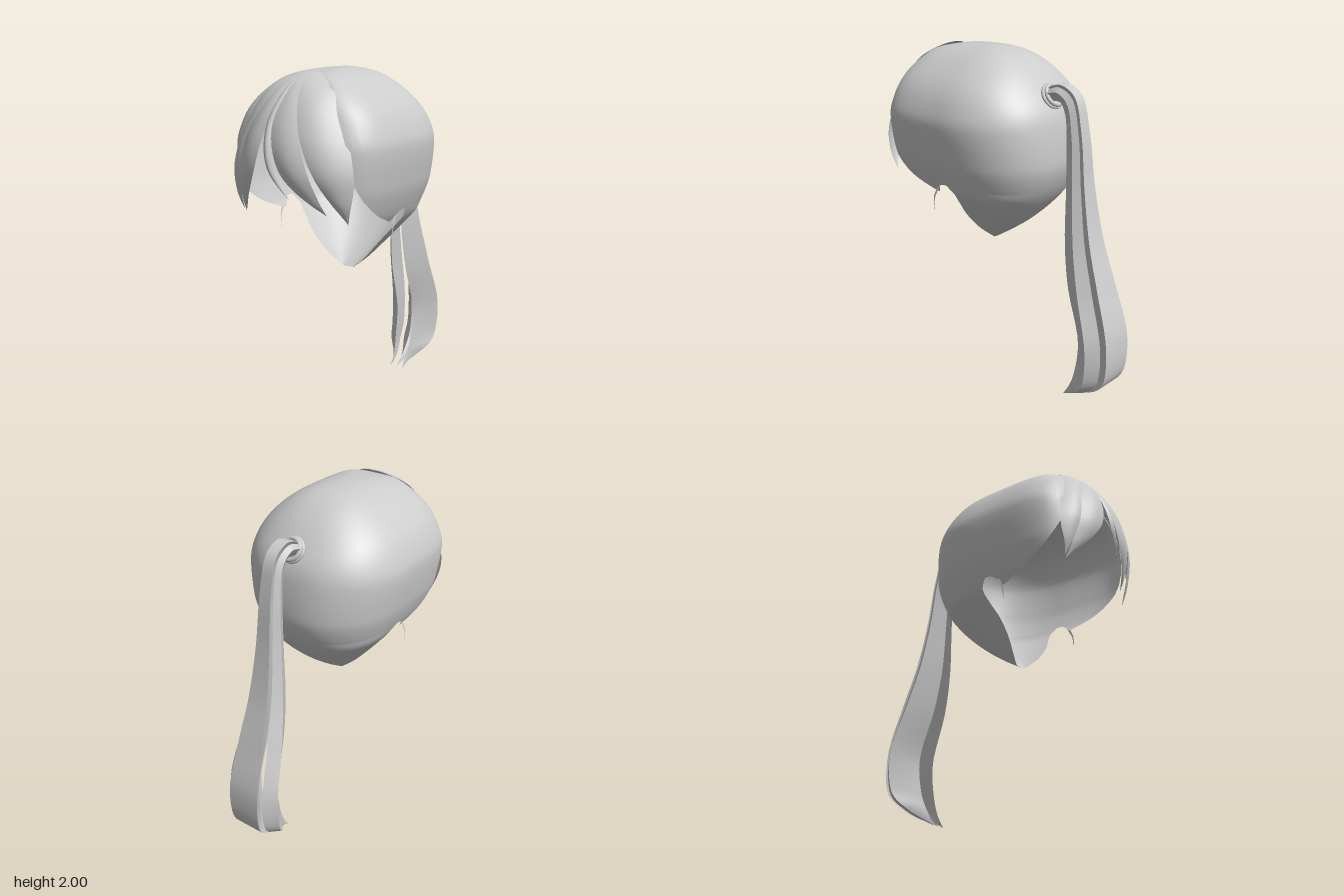
import * as THREE from 'three';
import { ParametricGeometry } from 'three/addons/geometries/ParametricGeometry.js';

const material = new THREE.MeshStandardMaterial({ color: 0xcccccc, side: THREE.DoubleSide });
const { lerp, clamp, smoothstep } = THREE.MathUtils;

function addSurface(parent, name, fn, slices, stacks) {
  const mesh = new THREE.Mesh(new ParametricGeometry(fn, slices, stacks), material);
  mesh.name = name;
  parent.add(mesh);
}

// Smooth interpolation of table rows [key, value, value...]
function sample(rows, key) {
  const last = rows.length - 1;
  const k = clamp(key, rows[0][0], rows[last][0]);
  let i = 0;
  while (i < last - 1 && k > rows[i + 1][0]) i++;
  const a = rows[i], b = rows[i + 1], h = b[0] - a[0], t = (k - a[0]) / h;
  const p = rows[Math.max(i - 1, 0)], n = rows[Math.min(i + 2, last)];
  return a.slice(1).map((_, j) => {
    const c = j + 1;
    const m0 = (b[c] - p[c]) / (b[0] - p[0]) * h, m1 = (n[c] - a[c]) / (n[0] - a[0]) * h;
    const t2 = t * t, t3 = t2 * t;
    return (2 * t3 - 3 * t2 + 1) * a[c] + (t3 - 2 * t2 + t) * m0 + (3 * t2 - 2 * t3) * b[c] + (t3 - t2) * m1;
  });
}

// Heights are keyed by the root of the drop from the crown, so domes stay round
const drop = (y) => Math.sqrt(Math.max(0, 2 - y));
const byDrop = (rows) => rows.map(([y, ...v]) => [drop(y), ...v]);

// Cap profile: height, half width, back z, front z
const CENTRE_Z = 0.15, EAR_Y = 1.25;
const capProfile = byDrop([
  [2, 0, 0.15, 0.15], [1.97, 0.16, -0.03, 0.47], [1.9, 0.28, -0.15, 0.57], [1.8, 0.385, -0.25, 0.63],
  [1.7, 0.44, -0.32, 0.66], [1.6, 0.463, -0.35, 0.68], [1.4, 0.437, -0.363, 0.68], [1.3, 0.407, -0.34, 0.66],
  [1.2, 0.36, -0.29, 0.64], [1.1, 0.28, -0.21, 0.6], [1, 0.195, -0.1, 0.6], [0.92, 0.12, 0.01, 0.6],
  [0.85, 0.035, 0.12, 0.6],
]);
// Hairline: degrees forward of the ear, height
const hairline = [[0, EAR_Y], [7, 1.24], [10, 1.19], [20, 1.215], [30, 1.26], [40, 1.34], [46, 1.42],
  [52, 1.52], [60, 1.7], [75, 1.82], [90, 1.86]];
// Forward edge of the nape: height, z
const napeEdge = byDrop([[EAR_Y, 0.15], [1.2, 0.115], [1.13, 0.13], [1.05, 0.155], [0.95, 0.155], [0.85, 0.122]]);

// Point on the horizontal section of the cap; angle 0 is the back
function sectionPoint(angle, d, centre, target) {
  const s = Math.sin(angle), c = -Math.cos(angle);
  const [w, back, front] = sample(capProfile, d);
  const n = c > 0 ? 4.5 : 2.4;
  const r = (Math.abs(s) ** n + Math.abs(c) ** n) ** (-1 / n);
  const depth = c > 0 ? front - centre : centre - back;
  target.set(w * s * r, 2 - d * d, centre + depth * c * r);
}

function capPoint(u, v, target) {
  const angle = u * Math.PI * 2;
  const forward = Math.asin(clamp(-Math.cos(angle), -1, 1)) * 180 / Math.PI;
  sectionPoint(angle, lerp(0.0005, drop(sample(hairline, forward)[0]), v), CENTRE_Z, target);
}

function napePoint(u, v, target) {
  const d = lerp(drop(EAR_Y), drop(0.8505), v);
  sectionPoint((u - 0.5) * Math.PI, d, sample(napeEdge, d)[0], target);
}

// Fringe form: height, middle z, edge z, half width
const fringeForm = byDrop([
  [1.99, 0.44, 0.44, 0.03], [1.965, 0.53, 0.49, 0.1], [1.89, 0.64, 0.56, 0.21], [1.68, 0.76, 0.62, 0.33],
  [1.5, 0.785, 0.645, 0.385], [1.35, 0.74, 0.64, 0.39], [1.24, 0.66, 0.62, 0.39],
]);
function fringeZ(x, y) {
  const [middle, edge, half] = sample(fringeForm, drop(y));
  return middle - (middle - edge) * Math.min(1, Math.abs(x) / half) ** 2.5;
}

// A lock of the fringe lies between two edge curves running from crown to tip
const edgeCurve = (pts) => new THREE.SplineCurve([[0, 1.987], ...pts].map(([x, y]) => new THREE.Vector2(x, y)));
function addFringeLock(parent, left, right) {
  const a = edgeCurve(right), b = edgeCurve(left);
  addSurface(parent, 'fringeLock', (u, v, target) => {
    const t = lerp(0.004, 0.996, v);
    const p = a.getPoint(t).lerp(b.getPoint(t), u);
    target.set(p.x, p.y, fringeZ(p.x, p.y) + 0.012 * Math.sin(Math.PI * u) * Math.sin(Math.PI * t * t));
  }, 12, 32);
}

// Ponytail guide curves: spread, y, z along the outer and inner side
const guide = (pts) => new THREE.CatmullRomCurve3(pts.map((p) => new THREE.Vector3(...p)));
const tailOuter = guide([[0.38, 1.81, -0.28], [0.35, 1.835, -0.37], [0.33, 1.785, -0.465], [0.36, 1.6, -0.52],
  [0.46, 1.3, -0.56], [0.64, 1, -0.62], [0.83, 0.75, -0.7], [1, 0.45, -0.785], [0.95, 0.22, -0.77],
  [0.78, 0.1, -0.65], [0.35, 0, -0.45]]);
const tailInner = guide([[0, 1.74, -0.31], [0, 1.74, -0.36], [0, 1.68, -0.395], [0, 1.55, -0.41],
  [0, 1.25, -0.42], [0, 0.95, -0.43], [0, 0.7, -0.47], [0, 0.4, -0.56], [0, 0.2, -0.54],
  [0, 0.1, -0.505], [0, 0, -0.45]]);

// Three-sided tail lock; corners are [x at full spread, depth from outer to inner]
function addTailLock(parent, corners, tipX) {
  const lock = new THREE.Group();
  lock.name = 'ponytailLock';
  corners.forEach((a, i) => {
    const b = corners[(i + 1) % corners.length];
    addSurface(lock, 'lockSide', (u, v, target) => {
      const t = v * 0.998;
      const o = tailOuter.getPoint(t), n = tailInner.getPoint(t);
      const depth = lerp(a[1], b[1], u);
      const x = lerp(lerp(a[0], b[0], u) * o.x, tipX, smoothstep(t, 0.8, 1) ** 2);
      target.set(x, lerp(o.y, n.y, depth), lerp(o.z, n.z, depth));
    }, 4, 48);
  });
  parent.add(lock);
}

export function createModel() {
  const hair = new THREE.Group();
  hair.name = 'ponytailHair';
  addSurface(hair, 'scalpCap', capPoint, 96, 40);
  addSurface(hair, 'nape', napePoint, 48, 24);

  // Fringe: neighbouring locks share their upper edges, then part towards the tips
  const fringe = new THREE.Group();
  fringe.name = 'fringe';
  hair.add(fringe);
  addFringeLock(fringe, [[-0.1, 1.965], [-0.21, 1.89], [-0.33, 1.68], [-0.385, 1.45], [-0.33, 1.25]],
    [[-0.055, 1.96], [-0.12, 1.87], [-0.24, 1.66], [-0.29, 1.45], [-0.33, 1.25]]);
  addFringeLock(fringe, [[-0.055, 1.96], [-0.12, 1.87], [-0.24, 1.66], [-0.3, 1.43], [-0.32, 1.24]],
    [[-0.025, 1.955], [-0.05, 1.87], [-0.08, 1.72], [-0.15, 1.48], [-0.32, 1.24]]);
  addFringeLock(fringe, [[-0.025, 1.955], [-0.05, 1.87], [-0.08, 1.72], [-0.05, 1.52], [0.06, 1.35]],
    [[-0.01, 1.955], [-0.02, 1.87], [-0.04, 1.72], [-0.01, 1.52], [0.06, 1.35]]);
  addFringeLock(fringe, [[-0.01, 1.955], [-0.02, 1.87], [-0.04, 1.72], [0.04, 1.48], [0.24, 1.28]],
    [[0.03, 1.955], [0.06, 1.87], [0.12, 1.7], [0.2, 1.45], [0.24, 1.28]]);
  addFringeLock(fringe, [[0.03, 1.955], [0.06, 1.87], [0.12, 1.7], [0.23, 1.45], [0.34, 1.24]],
    [[0.1, 1.965], [0.21, 1.89], [0.33, 1.68], [0.385, 1.45], [0.34, 1.24]]);

  // Fine wisps in front of the ears
  for (const side of [-1, 1]) {
    const path = guide([[0.375, 1.22, 0.235], [0.38, 1.15, 0.265], [0.375, 1.07, 0.27]]);
    addSurface(hair, 'earWisp', (u, v, target) => {
      path.getPoint(v, target);
      target.x *= side;
      target.z += (u - 0.5) * 0.018 * (1.02 - v);
    }, 2, 10);
  }

  // Hair tie: two stacked rings tilted with the root of the tail
  const tie = new THREE.Group();
  tie.name = 'hairTie';
  for (const [z, radius] of [[-0.01, 0.063], [0.01, 0.057]]) {
    const ring = new THREE.Mesh(new THREE.TorusGeometry(radius, 0.012, 10, 32), material);
    ring.name = 'tieRing';
    ring.position.z = z;
    tie.add(ring);
  }
  tie.position.set(0, 1.765, -0.295);
  tie.lookAt(0, 1.765 + 0.5, -0.295 - 0.87);
  hair.add(tie);

  // Ponytail: a middle lock between two mirrored side locks
  const tail = new THREE.Group();
  tail.name = 'ponytail';
  addTailLock(tail, [[0.1, 0], [-0.1, 0], [0, 0.6]], 0);
  for (const side of [-1, 1]) {
    addTailLock(tail, [[0.115, 0.13], [0.175, 0.4], [0.06, 1]].map(([x, d]) => [x * side, d]), 0.045 * side);
  }
  hair.add(tail);
  return hair;
}
